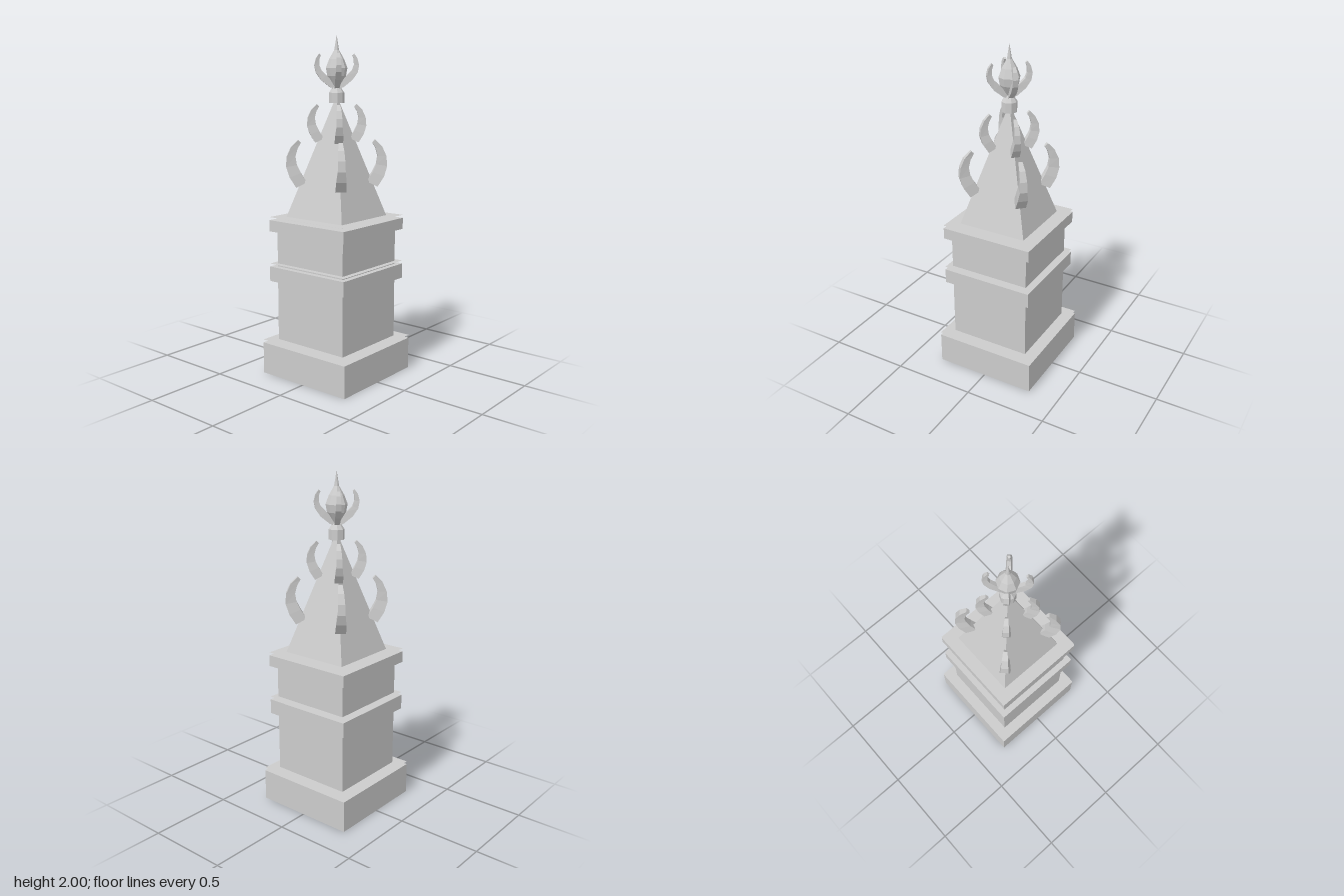
import * as THREE from 'three';

const stone = new THREE.MeshStandardMaterial({ color: 0xcccccc, flatShading: true, side: THREE.DoubleSide });
stone.name = 'stone grey';

function add(parent, name, geometry, y = 0) {
  const mesh = new THREE.Mesh(geometry, stone);
  mesh.name = name;
  mesh.position.y = y;
  parent.add(mesh);
  return mesh;
}

// Square block from y0 to y1
function block(parent, name, half, y0, y1) {
  return add(parent, name, new THREE.BoxGeometry(half * 2, y1 - y0, half * 2), (y0 + y1) / 2);
}

// Block with a thin ledge sheet floating just above its top
function ledgedBlock(parent, name, half, y0, y1) {
  block(parent, name, half, y0, y1);
  add(parent, name + 'Ledge', new THREE.PlaneGeometry(half * 2, half * 2).rotateX(-Math.PI / 2), y1 + 0.018);
}

// Curved leaf: sections of [outer r, outer y, inner r, inner y, half width]
function leafGeometry(sections) {
  const pos = [];
  const rings = sections.map(([or, oy, ir, iy, w]) => [
    [or, oy, w], [or, oy, -w], [ir, iy, -w * 0.65], [ir, iy, w * 0.65],
  ]);
  const quad = (a, b, c, d) => pos.push(...a, ...b, ...c, ...a, ...c, ...d);
  for (let i = 0; i < rings.length - 1; i++) {
    const p = rings[i], q = rings[i + 1];
    for (let j = 0; j < 4; j++) {
      const k = (j + 1) % 4;
      quad(p[j], p[k], q[k], q[j]);
    }
  }
  const first = rings[0], last = rings[rings.length - 1];
  quad(first[3], first[2], first[1], first[0]);
  quad(last[0], last[1], last[2], last[3]);
  const g = new THREE.BufferGeometry();
  g.setAttribute('position', new THREE.Float32BufferAttribute(pos, 3));
  g.computeVertexNormals();
  return g;
}

// Four copies of a leaf on the diagonals
function leafRing(parent, name, geometry) {
  const ring = new THREE.Group();
  ring.name = name + 'Ring';
  for (let i = 0; i < 4; i++) {
    add(ring, name, geometry).rotation.y = Math.PI / 4 + i * Math.PI / 2;
  }
  parent.add(ring);
}

export function createModel() {
  const model = new THREE.Group();
  model.name = 'pinnacle';

  // Pedestal
  ledgedBlock(model, 'base', 0.312, 0, 0.19);
  block(model, 'shaft', 0.247, 0.19, 0.93);
  ledgedBlock(model, 'middleBand', 0.28, 0.57, 0.658);
  ledgedBlock(model, 'topBand', 0.28, 0.87, 0.937);

  // Spire
  const spire = new THREE.ConeGeometry(0.214 * Math.SQRT2, 0.723, 4).rotateY(Math.PI / 4);
  add(model, 'spire', spire, 0.937 + 0.723 / 2);

  // Crockets on the spire edges, relative to the edge at the leaf's foot
  const crocket = [
    [0.028, 0, -0.035, 0.03, 0.031],
    [0.066, 0.06, 0.0, 0.085, 0.029],
    [0.085, 0.12, 0.022, 0.13, 0.022],
    [0.08, 0.18, 0.03, 0.18, 0.02],
    [0.055, 0.235, 0.018, 0.225, 0.017],
    [0.015, 0.275, -0.002, 0.258, 0.012],
  ];
  const placed = (s, r, y) => leafGeometry(crocket.map(
    ([a, b, c, d, w]) => [r + a * s, y + b * s, r + c * s, y + d * s, w * s]));
  leafRing(model, 'lowerCrocket', placed(1, 0.21, 1.13));
  leafRing(model, 'upperCrocket', placed(0.8, 0.103, 1.39));

  // Finial collar and pointed bud
  const lathe = (pts) => new THREE.LatheGeometry(pts.map(([x, y]) => new THREE.Vector2(x, y)), 8);
  add(model, 'collar', lathe([[0, 1.617], [0.045, 1.617], [0.045, 1.675], [0.018, 1.715], [0, 1.72]]));
  add(model, 'bud', lathe([
    [0, 1.7], [0.018, 1.71], [0.054, 1.77], [0.062, 1.815], [0.043, 1.865], [0.014, 1.915], [0, 2],
  ]));

  // Claws around the bud
  leafRing(model, 'claw', leafGeometry([
    [0.0, 1.69, 0.0, 1.725, 0.012],
    [0.04, 1.707, 0.028, 1.742, 0.015],
    [0.09, 1.747, 0.06, 1.775, 0.017],
    [0.12, 1.79, 0.088, 1.802, 0.016],
    [0.128, 1.83, 0.1, 1.833, 0.014],
    [0.118, 1.87, 0.098, 1.865, 0.012],
    [0.1, 1.895, 0.09, 1.886, 0.008],
  ]));

  return model;
}
